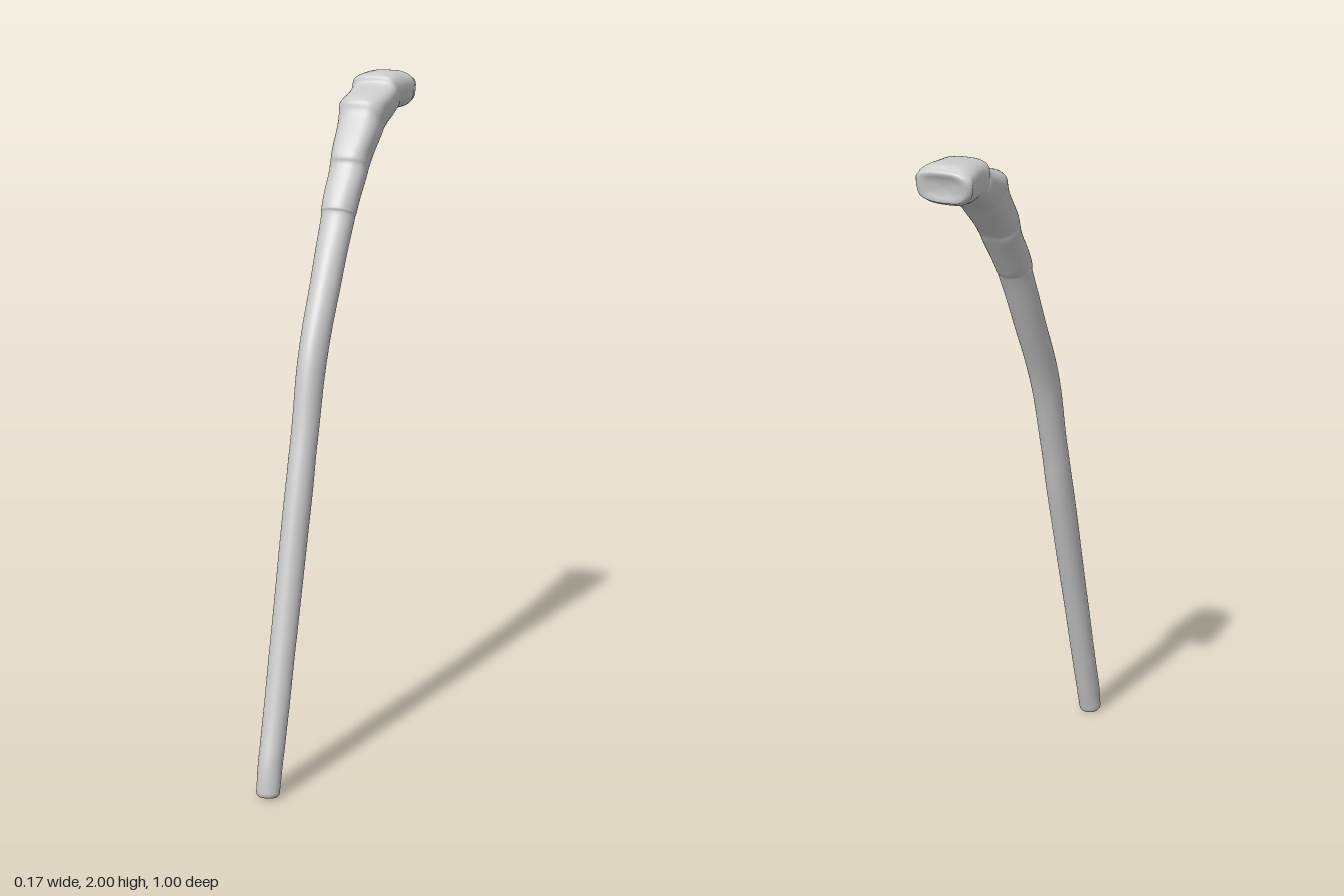
import * as THREE from 'three';

// Stations along the stick: [front z, front y, back z, back y, half width]
const STATIONS = [
  [0.503, 0.02, 0.437, 0.014, 0.034],
  [0.492, 0.10, 0.415, 0.085, 0.035],
  [0.458, 0.21, 0.385, 0.19, 0.036],
  [0.402, 0.41, 0.327, 0.39, 0.037],
  [0.296, 0.81, 0.208, 0.785, 0.039],
  [0.237, 1.01, 0.156, 0.985, 0.039],
  [0.178, 1.24, 0.085, 1.205, 0.041],
  [0.085, 1.425, -0.001, 1.385, 0.044],
  [-0.012, 1.605, -0.095, 1.57, 0.049],
  [-0.025, 1.645, -0.120, 1.605, 0.051],
  [-0.098, 1.745, -0.195, 1.71, 0.055],
  [-0.113, 1.785, -0.225, 1.75, 0.057],
  [-0.195, 1.885, -0.300, 1.825, 0.066],
  [-0.222, 1.932, -0.325, 1.843, 0.072],
  [-0.325, 1.963, -0.380, 1.874, 0.075],
  [-0.352, 1.993, -0.405, 1.884, 0.077],
  [-0.460, 1.998, -0.460, 1.884, 0.085],
  [-0.493, 1.984, -0.478, 1.892, 0.086],
];
const SIDES = 36;
const RINGS = 150;

const curveOf = (pick) => new THREE.CatmullRomCurve3(
  STATIONS.map((s) => new THREE.Vector3(...pick(s))), false, 'catmullrom', 0.5);
const frontEdge = curveOf((s) => [0, s[1], s[0]]);
const backEdge = curveOf((s) => [0, s[3], s[2]]);
const halfWidth = curveOf((s) => [s[4], 0, 0]);

const softPower = (v, n) => Math.sign(v) * Math.pow(Math.abs(v), 2 / n);

// One closed cross-section; scale and push shape the rounded ends
function addRing(out, t, scale, push) {
  const f = frontEdge.getPoint(t), b = backEdge.getPoint(t);
  const width = halfWidth.getPoint(t).x;
  // round shaft turning into a squarer handle
  const square = 2 + 0.9 * THREE.MathUtils.smoothstep(t, 0.4, 0.8);
  const mid = f.clone().add(b).multiplyScalar(0.5);
  const half = f.clone().sub(b).multiplyScalar(0.5);
  const along = new THREE.Vector3(0, half.z, -half.y).normalize();
  mid.addScaledVector(along, push);
  mid.x = 0.003;
  for (let j = 0; j < SIDES; j++) {
    const a = (j / SIDES) * Math.PI * 2;
    // gentle hand-carved unevenness, stronger towards the handle
    const rough = 0.012 + 0.02 * t * t;
    const k = scale * (1 + rough * Math.sin(t * 75 + 2 * a) * Math.sin(t * 41 - 3 * a + 1) * Math.abs(Math.sin(a)));
    const p = mid.clone().addScaledVector(half, k * softPower(Math.cos(a), square));
    // underside of the handle is narrower than its top
    const taper = 1 - 0.1 * Math.max(0, t - 0.6) * (1 - Math.cos(a));
    p.x += k * width * taper * softPower(Math.sin(a), square);
    out.push(p.x, p.y, p.z);
  }
}

function stickGeometry() {
  const pos = [], index = [];
  // rounded foot
  for (const [s, p] of [[0, -0.013], [0.6, -0.013], [0.85, -0.011], [0.96, -0.006]]) addRing(pos, 0, s, p);
  // shaft, bend and handle
  for (let i = 0; i <= RINGS; i++) addRing(pos, i / RINGS, 1, 0);
  // handle end with a shallow hollow
  for (const [s, p] of [[0.95, 0.006], [0.84, 0.009], [0.65, 0.005], [0.4, 0.001], [0, 0]]) addRing(pos, 1, s, p);

  const rows = pos.length / 3 / SIDES;
  for (let i = 0; i < rows - 1; i++) {
    for (let j = 0; j < SIDES; j++) {
      const n = (j + 1) % SIDES;
      const a = i * SIDES + j, b = i * SIDES + n, c = b + SIDES, d = a + SIDES;
      // the first and last rows shrink to a point, so they need one triangle each
      if (i > 0) index.push(a, b, c);
      if (i < rows - 2) index.push(a, c, d);
    }
  }
  const g = new THREE.BufferGeometry();
  g.setAttribute('position', new THREE.Float32BufferAttribute(pos, 3));
  g.setIndex(index);
  g.computeVertexNormals();
  return g;
}

export function createModel() {
  const group = new THREE.Group();
  group.name = 'walkingStick';
  const stick = new THREE.Mesh(stickGeometry(), new THREE.MeshStandardMaterial({ color: 0xcccccc }));
  stick.name = 'stick';
  group.add(stick);
  return group;
}
